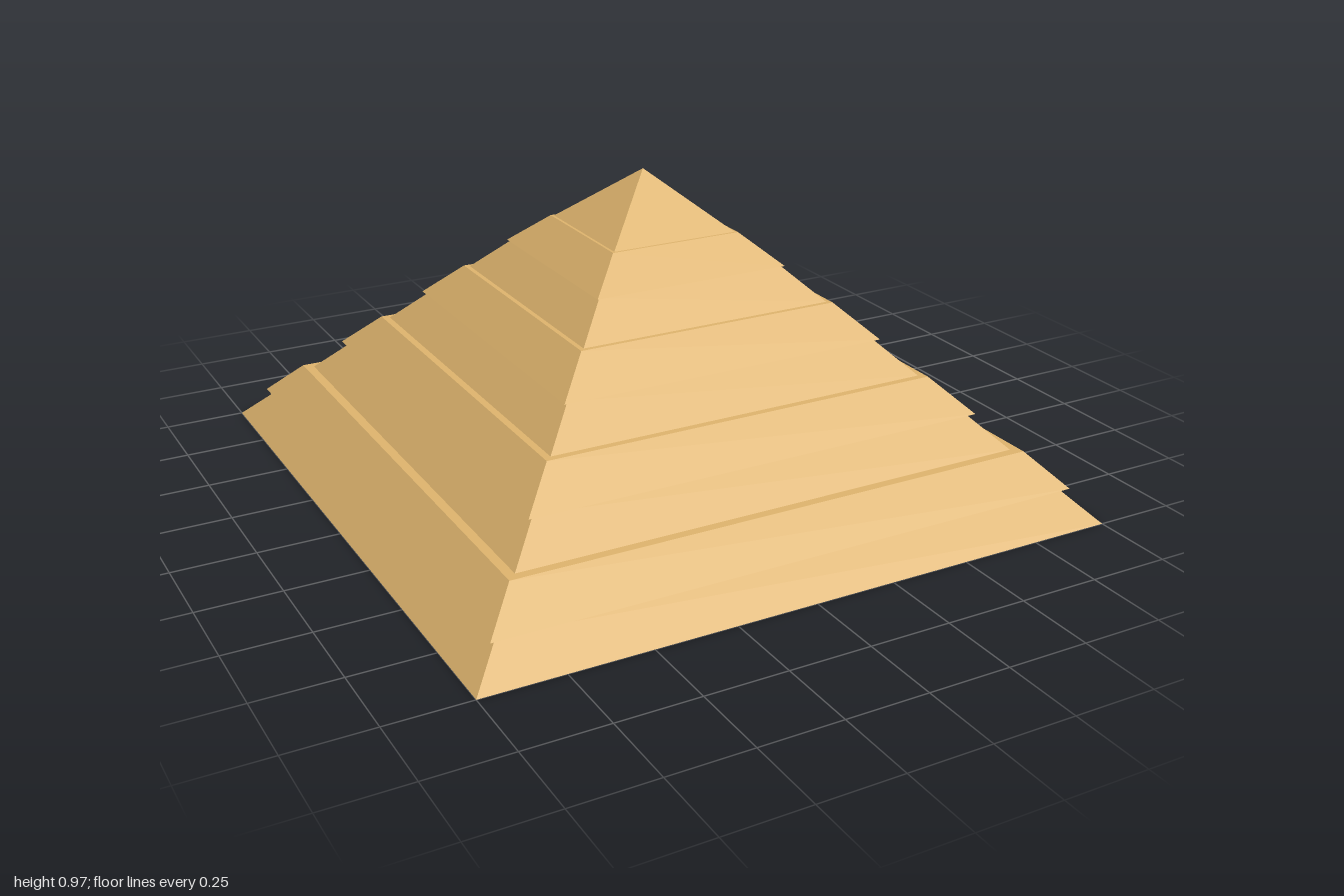
import * as THREE from 'three';

// Square shell swept from a [half width, height] profile, listed bottom to top
function squareShell(name, profile, material) {
  const points = profile.map(([w, y]) => new THREE.Vector2(w * Math.SQRT2, y));
  const geometry = new THREE.LatheGeometry(points, 4, Math.PI / 4).toNonIndexed();
  geometry.computeVertexNormals();
  const mesh = new THREE.Mesh(geometry, material);
  mesh.name = name;
  return mesh;
}

export function createModel() {
  const model = new THREE.Group();
  model.name = 'steppedPyramid';
  const sandstone = new THREE.MeshStandardMaterial({
    name: 'sandstone', color: 0xdcb26c, flatShading: true, side: THREE.DoubleSide,
  });

  // Four tiers: [foot width, foot y, waist width, overhang width, waist y, rim width]
  const tiers = [
    [1.0, 0.0, 0.9, 0.928, 0.1, 0.828],
    [0.8, 0.202, 0.7, 0.724, 0.303, 0.621],
    [0.6, 0.405, 0.5, 0.517, 0.506, 0.414],
    [0.4, 0.607, 0.3, 0.31, 0.706, 0.208],
  ];
  const capWidth = 0.2, capY = 0.798, apexY = 0.97;

  tiers.forEach(([foot, y0, waist, overhang, y1, rim], i) => {
    const [nextFoot, y2] = tiers[i + 1] ?? [capWidth, capY];
    const tier = new THREE.Group();
    tier.name = `tier${i + 1}`;
    tier.add(
      squareShell('lowerCourse', [[foot, y0], [waist, y1]], sandstone),
      // underside, sloping face and narrow ledge
      squareShell('overhangingCourse',
        [[waist, y1], [overhang, y1], [rim, y2], [nextFoot, y2]], sandstone),
    );
    model.add(tier);
  });

  // Pointed cap, open underneath like the rest of the shell
  const capGeometry = new THREE.ConeGeometry(capWidth * Math.SQRT2, apexY - capY, 4, 1, true, Math.PI / 4);
  const cap = new THREE.Mesh(capGeometry, sandstone);
  cap.name = 'capstone';
  cap.position.y = (capY + apexY) / 2;
  model.add(cap);

  return model;
}
